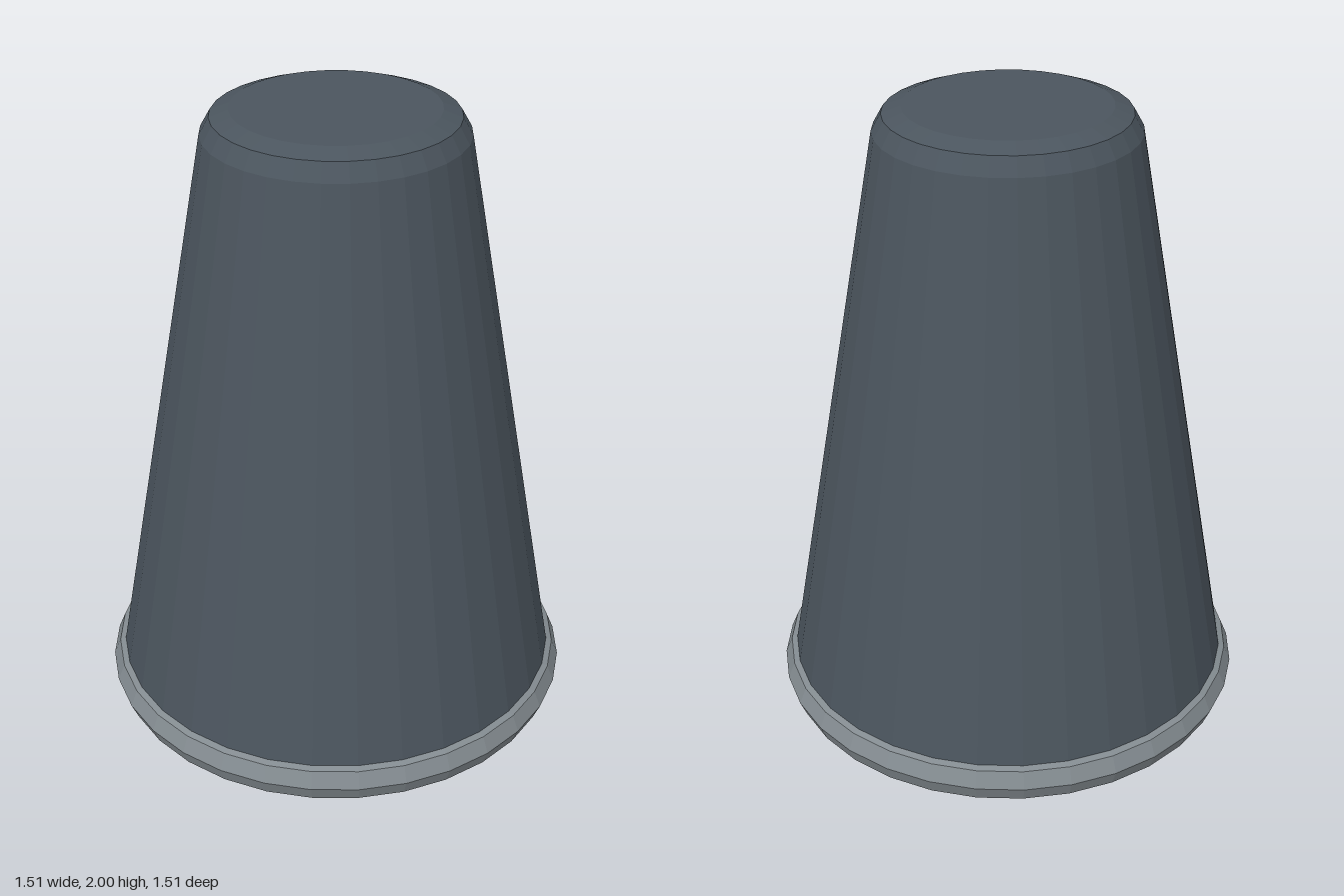
import * as THREE from 'three';

const SIDES = 32;

export function createModel() {
  const model = new THREE.Group();
  model.name = 'taperedCup';

  const slate = new THREE.MeshStandardMaterial({ name: 'slate', color: 0x4b555e, flatShading: true });
  const grey = new THREE.MeshStandardMaterial({ name: 'grey', color: 0x838b90, flatShading: true });

  // Tapered body, closed underneath and rounded over at the top
  const profile = [
    [0, 0.075], [0.725, 0.075], [0.4, 1.925], [0.37, 1.978], [0.312, 2], [0, 2],
  ].map(([r, y]) => new THREE.Vector2(r, y));
  const body = new THREE.Mesh(new THREE.LatheGeometry(profile, SIDES), slate);
  body.name = 'body';
  model.add(body);

  // Faceted ring around the base
  const rim = new THREE.Mesh(new THREE.TorusGeometry(0.68, 0.075, 8, SIDES), grey);
  rim.name = 'baseRim';
  rim.rotation.x = Math.PI / 2;
  rim.position.y = 0.075;
  model.add(rim);

  return model;
}
